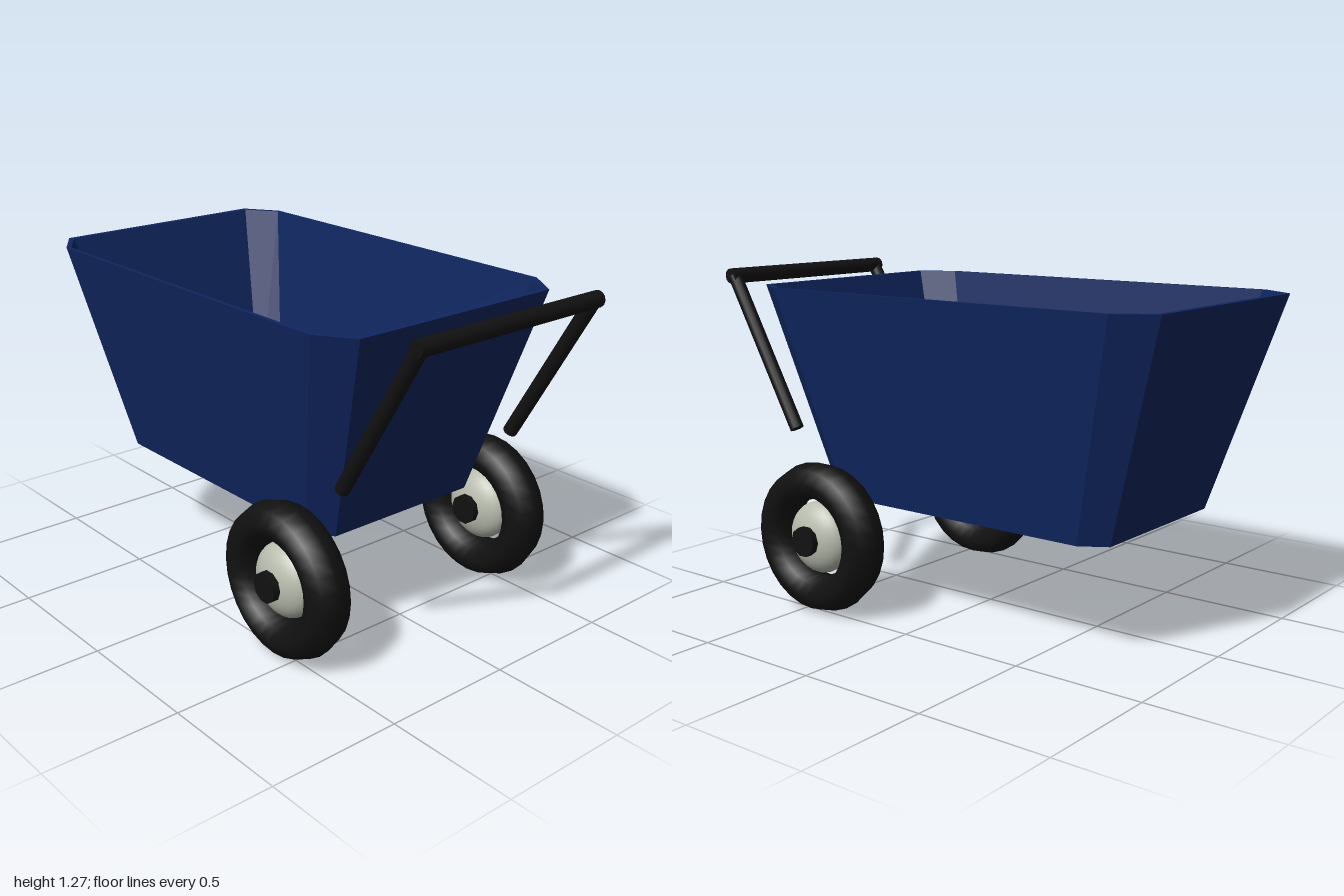
import * as THREE from 'three';

const blue = new THREE.MeshStandardMaterial({ color: 0x0f2660, flatShading: true });
blue.name = 'tub blue';
const black = new THREE.MeshStandardMaterial({ color: 0x111111 });
black.name = 'rubber black';
const grey = new THREE.MeshStandardMaterial({ color: 0xb8bdae });
grey.name = 'hub grey';

function part(name, geometry, material, parent) {
  const mesh = new THREE.Mesh(geometry, material);
  mesh.name = name;
  parent.add(mesh);
  return mesh;
}

// Chamfered rectangle at height y, counter-clockwise seen from above
function ring(y, x, xc, front, frontC, back, backC) {
  return [
    [-xc, front], [xc, front], [x, frontC], [x, backC],
    [xc, back], [-xc, back], [-x, backC], [-x, frontC],
  ].map(([px, pz]) => [px, y, pz]);
}

// Open tub: outer wall, rim, inner wall, floor and underside
function tubGeometry() {
  const rings = [
    ring(0.425, 0.38, 0.32, 0.5, 0.41, -0.755, -0.66),
    ring(1.225, 0.53, 0.44, 0.745, 0.61, -1.0, -0.865),
    ring(1.225, 0.515, 0.43, 0.722, 0.6, -0.978, -0.855),
    ring(0.445, 0.362, 0.308, 0.48, 0.39, -0.737, -0.65),
  ];
  const pos = [];
  const tri = (...points) => points.forEach((p) => pos.push(...p));
  for (let r = 0; r < 3; r++) {
    const a = rings[r], b = rings[r + 1];
    for (let i = 0; i < 8; i++) {
      const j = (i + 1) % 8;
      tri(a[i], a[j], b[j]);
      tri(a[i], b[j], b[i]);
    }
  }
  const under = rings[0], floor = rings[3];
  for (let i = 1; i < 7; i++) {
    tri(under[0], under[i + 1], under[i]);
    tri(floor[0], floor[i], floor[i + 1]);
  }
  const g = new THREE.BufferGeometry();
  g.setAttribute('position', new THREE.Float32BufferAttribute(pos, 3));
  g.computeVertexNormals();
  return g;
}

// Straight round bar between two points
function bar(name, from, to, radius, parent) {
  const dir = to.clone().sub(from);
  const mesh = part(name, new THREE.CylinderGeometry(radius, radius, dir.length(), 12), black, parent);
  mesh.position.copy(from).add(to).multiplyScalar(0.5);
  mesh.quaternion.setFromUnitVectors(new THREE.Vector3(0, 1, 0), dir.normalize());
}

// Wheel with its axis along x
function wheel(name, x) {
  const group = new THREE.Group();
  group.name = name;
  const tyre = new THREE.TorusGeometry(0.218, 0.07, 8, 28);
  tyre.scale(1, 1, 1.25).rotateY(Math.PI / 2);
  part('tyre', tyre, black, group);
  const hub = new THREE.SphereGeometry(0.138, 28, 16);
  hub.scale(0.58, 1, 1);
  part('hub', hub, grey, group);
  const cap = new THREE.CylinderGeometry(0.057, 0.057, 0.198, 10);
  cap.rotateZ(Math.PI / 2);
  part('axleCap', cap, black, group);
  group.position.set(x, 0.289, 0.435);
  return group;
}

export function createModel() {
  const model = new THREE.Group();
  model.name = 'wheelbarrow';
  part('tub', tubGeometry(), blue, model);

  // U-shaped handle
  const handle = new THREE.Group();
  handle.name = 'handle';
  model.add(handle);
  const v = (x, y, z) => new THREE.Vector3(x, y, z);
  bar('handleGrip', v(-0.422, 1.244, 0.968), v(0.422, 1.244, 0.968), 0.03, handle);
  for (const s of [-1, 1]) {
    const side = s > 0 ? 'left' : 'right';
    bar(side + 'HandleArm', v(s * 0.4, 1.244, 0.968), v(s * 0.409, 0.672, 0.632), 0.027, handle);
    model.add(wheel(side + 'Wheel', s * 0.488));
  }
  return model;
}
